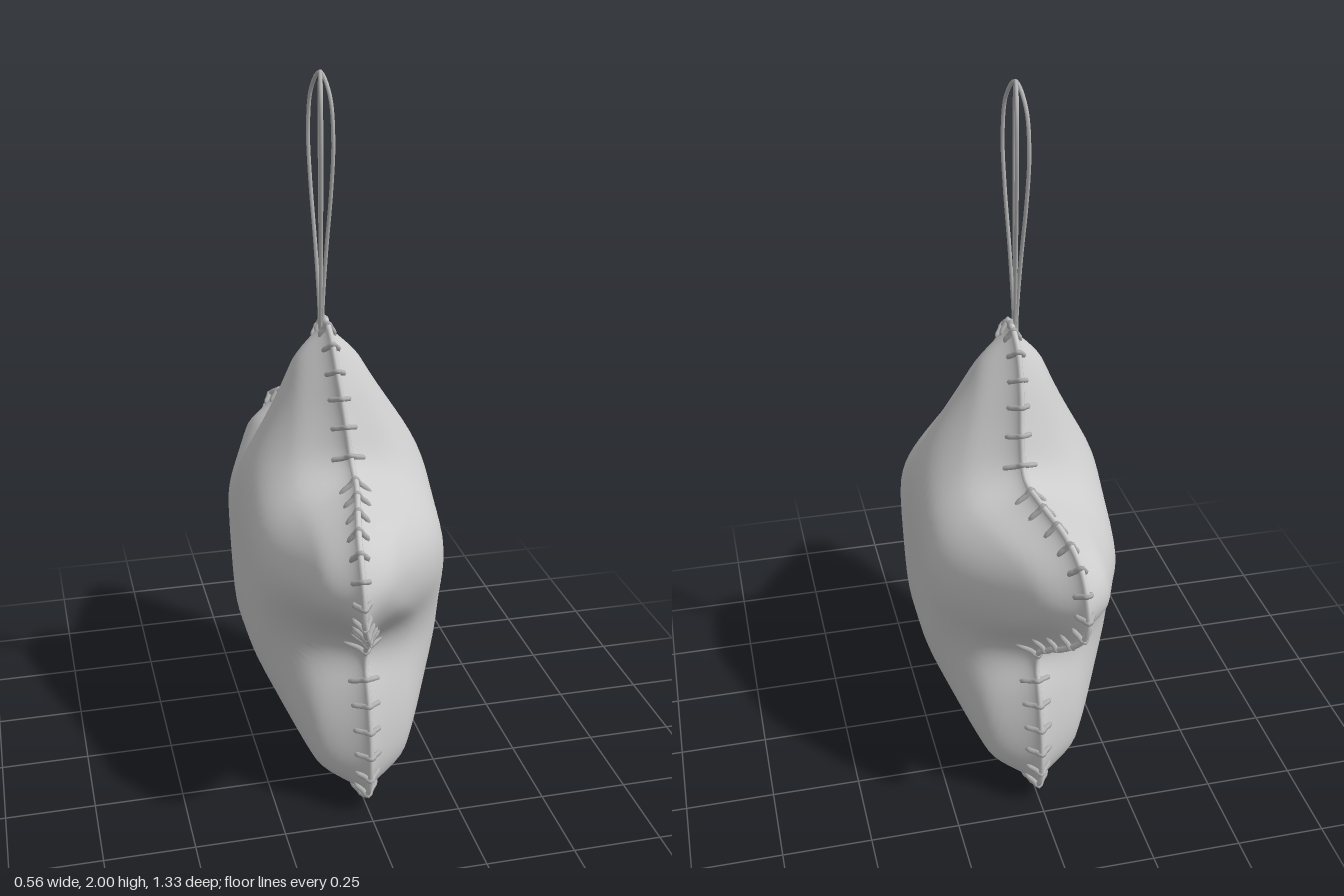
import * as THREE from 'three';
import { mergeVertices } from 'three/addons/utils/BufferGeometryUtils.js';

const V = (x, y, z) => new THREE.Vector3(x, y, z);
const smooth = THREE.MathUtils.smoothstep;
const X = V(1, 0, 0);
const COUNT = 320, RINGS = 30, STITCHES = 60, INSET = -0.012;

// half of the star outline as [z, y], from the top tip down to the bottom notch
const HALF = [
  [0, 1.33], [0.08, 1.30], [0.15, 1.20], [0.20, 1.08], [0.25, 0.985], [0.36, 0.965],
  [0.50, 0.94], [0.60, 0.89], [0.66, 0.79], [0.65, 0.70], [0.58, 0.62], [0.48, 0.545],
  [0.41, 0.475], [0.445, 0.37], [0.475, 0.25], [0.48, 0.12], [0.44, 0.035], [0.36, 0.0],
  [0.25, 0.03], [0.12, 0.11], [0, 0.16],
];

// sideways drift of the seam: side arms and top tip lean to -x
const bend = (y, z) =>
  -0.07 * smooth(Math.abs(z), 0.22, 0.66) * smooth(y, 0.45, 0.75) - 0.02 * smooth(y, 0.95, 1.3);

export function createModel() {
  const group = new THREE.Group();
  const felt = new THREE.MeshStandardMaterial({ color: 0xcccccc });
  felt.name = 'felt grey';
  const thread = new THREE.MeshStandardMaterial({ color: 0xb4b4b4 });
  thread.name = 'thread grey';
  const add = (geometry, material, name, parent = group) => {
    const mesh = new THREE.Mesh(geometry, material);
    mesh.name = name;
    parent.add(mesh);
  };

  // full outline, inset to leave room for the rim and the thread
  const mirrored = HALF.slice(1, -1).reverse().map(([z, y]) => [-z, y]);
  const curve = new THREE.CatmullRomCurve3(
    [...HALF, ...mirrored].map(([z, y]) => V(0, y, z)), true, 'centripetal');
  const outward = (u) => curve.getTangentAt(u).cross(X).normalize();
  const edge = [];
  for (let i = 0; i < COUNT; i++) {
    const u = i / COUNT;
    edge.push(curve.getPointAt(u).addScaledVector(outward(u), INSET));
  }

  // smooth distance to the outline gives the stuffed height
  const softDistance = (y, z) => {
    let sum = 0;
    edge.forEach((p, i) => {
      const q = edge[(i + 1) % COUNT];
      const d2 = (p.y - y) ** 2 + (p.z - z) ** 2 + 1e-7;
      sum += p.distanceTo(q) / (d2 * Math.sqrt(d2));
    });
    return 1 / Math.sqrt(sum);
  };
  const centre = V(0, 0.62, 0);
  const deepest = softDistance(centre.y, centre.z);
  // plump middle, pinched flat along the seam, slimmer towards the tips
  const height = (y, z) => {
    const d = softDistance(y, z);
    const plump = Math.sin(Math.PI / 2 * Math.min(1, d / deepest) ** 0.78);
    const reach = smooth(Math.hypot(y - centre.y, z), 0.24, 0.65);
    const slim = 1 - (0.22 + 0.22 * smooth(y, 0.2, 0.7)) * reach;
    return 0.278 * plump * slim * smooth(d, -0.012, 0.058);
  };

  // two stuffed panels made of rings running from the centre to the seam
  const panel = (side) => {
    const positions = [], index = [];
    for (let j = 0; j <= RINGS; j++) {
      const t = Math.sin((j / RINGS) * Math.PI / 2);
      for (let i = 0; i < COUNT; i++) {
        const p = centre.clone().lerp(edge[i], t);
        const h = j === RINGS ? 0 : height(p.y, p.z);
        positions.push(bend(p.y, p.z) + side * h, p.y, p.z);
        if (j === RINGS) continue;
        const k = (i + 1) % COUNT;
        const a = j * COUNT + i, b = a + COUNT, c = (j + 1) * COUNT + k, d = j * COUNT + k;
        const quad = j === 0 ? [a, b, c] : [a, b, c, a, c, d];
        index.push(...(side > 0 ? quad : quad.reverse()));
      }
    }
    const geometry = new THREE.BufferGeometry();
    geometry.setAttribute('position', new THREE.Float32BufferAttribute(positions, 3));
    geometry.setIndex(index);
    const merged = mergeVertices(geometry, 1e-5);
    merged.computeVertexNormals();
    return merged;
  };
  add(panel(1), felt, 'leftPanel');
  add(panel(-1), felt, 'rightPanel');

  // raised rim along the seam
  const rimPath = new THREE.CatmullRomCurve3(
    edge.filter((_, i) => i % 2 === 0).map((p) => V(bend(p.y, p.z), p.y, p.z)), true);
  add(new THREE.TubeGeometry(rimPath, 320, 0.008, 8, true), felt, 'seamRim');

  // overcast stitches wrapping round the rim
  const stitches = new THREE.Group();
  stitches.name = 'stitches';
  group.add(stitches);
  for (let s = 0; s < STITCHES; s++) {
    const u = (s + 0.5) / STITCHES;
    const n = outward(u);
    const base = curve.getPointAt(u).addScaledVector(n, INSET);
    const at = (offset, side, lift) => {
      const p = base.clone().addScaledVector(n, offset);
      const h = side === 0 ? 0 : height(p.y, p.z) + lift;
      p.x = bend(p.y, p.z) + side * h;
      return p;
    };
    const path = new THREE.CatmullRomCurve3([
      at(-0.04, 1, -0.012), at(-0.03, 1, 0.002), at(-0.012, 1, 0.006), at(0.006, 0, 0),
      at(-0.012, -1, 0.006), at(-0.03, -1, 0.002), at(-0.04, -1, -0.012),
    ]);
    add(new THREE.TubeGeometry(path, 16, 0.008, 6), thread, 'stitch', stitches);
  }

  // two strands of hanging loop, turned opposite ways about the vertical
  const loop = [[0.008, 1.29], [0.012, 1.36], [0.035, 1.52], [0.068, 1.7], [0.08, 1.83], [0.06, 1.94]];
  for (const turn of [-0.2, 0.2]) {
    const half = (sign) => loop.map(([z, y]) => V(-0.032 + sign * z * turn, y, sign * z));
    const path = new THREE.CatmullRomCurve3(
      [...half(1), V(-0.032, 1.994, 0), ...half(-1).reverse()]);
    add(new THREE.TubeGeometry(path, 90, 0.0055, 8), thread, 'hangingLoop');
  }

  // small knot where the loop enters the tip
  const knot = new THREE.SphereGeometry(0.016, 12, 8);
  knot.translate(-0.025, 1.315, 0);
  add(knot, thread, 'loopKnot');
  return group;
}
